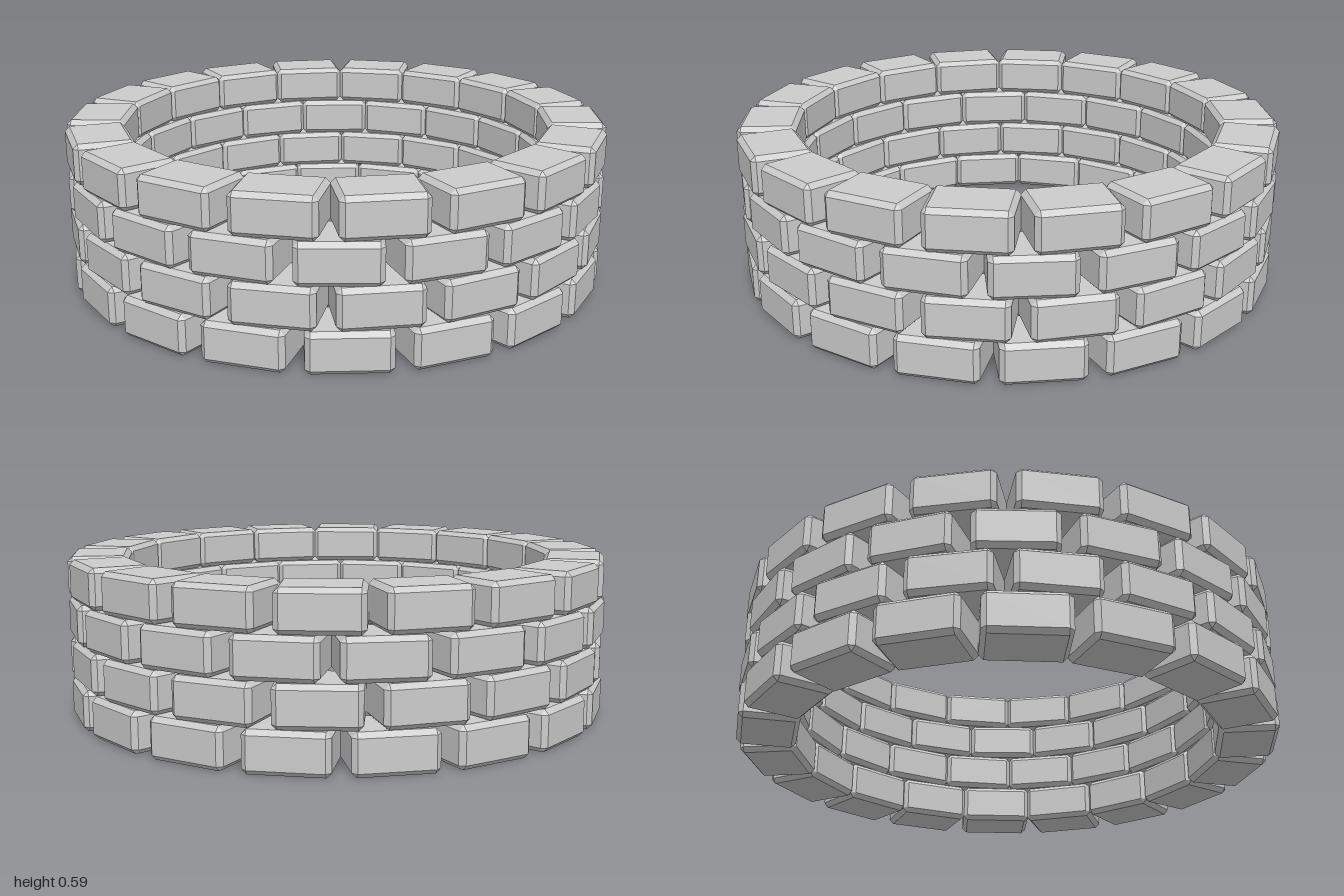
import * as THREE from 'three';
import { ConvexGeometry } from 'three/addons/geometries/ConvexGeometry.js';

// Block with every edge and corner chamfered flat
function chamferedBlock(w, h, d, c) {
  const points = [];
  for (const sx of [-1, 1]) for (const sy of [-1, 1]) for (const sz of [-1, 1]) {
    const x = w / 2, y = h / 2, z = d / 2;
    points.push(
      new THREE.Vector3(sx * x, sy * (y - c), sz * (z - c)),
      new THREE.Vector3(sx * (x - c), sy * y, sz * (z - c)),
      new THREE.Vector3(sx * (x - c), sy * (y - c), sz * z)
    );
  }
  return new ConvexGeometry(points);
}

export function createModel() {
  const model = new THREE.Group();
  model.name = 'brickRing';
  const material = new THREE.MeshStandardMaterial({ color: 0xcccccc, flatShading: true });

  const bricksPerCourse = 18;
  const height = 0.145, pitch = 0.147, depth = 0.215;
  const innerRadius = 0.773;
  const geometry = chamferedBlock(0.282, height, depth, 0.017);

  // Turn of each course in degrees, bottom to top, staggering the joints
  const turns = [10, -4.3, 8, -3.8];
  turns.forEach((turn, row) => {
    const course = new THREE.Group();
    course.name = `course${row + 1}`;
    course.position.y = height / 2 + row * pitch;
    for (let i = 0; i < bricksPerCourse; i++) {
      const angle = THREE.MathUtils.degToRad(turn) + (i / bricksPerCourse) * Math.PI * 2;
      const radius = innerRadius + depth / 2;
      const brick = new THREE.Mesh(geometry, material);
      brick.name = 'brick';
      brick.position.set(Math.sin(angle) * radius, 0, Math.cos(angle) * radius);
      brick.rotation.y = angle;
      course.add(brick);
    }
    model.add(course);
  });
  return model;
}
